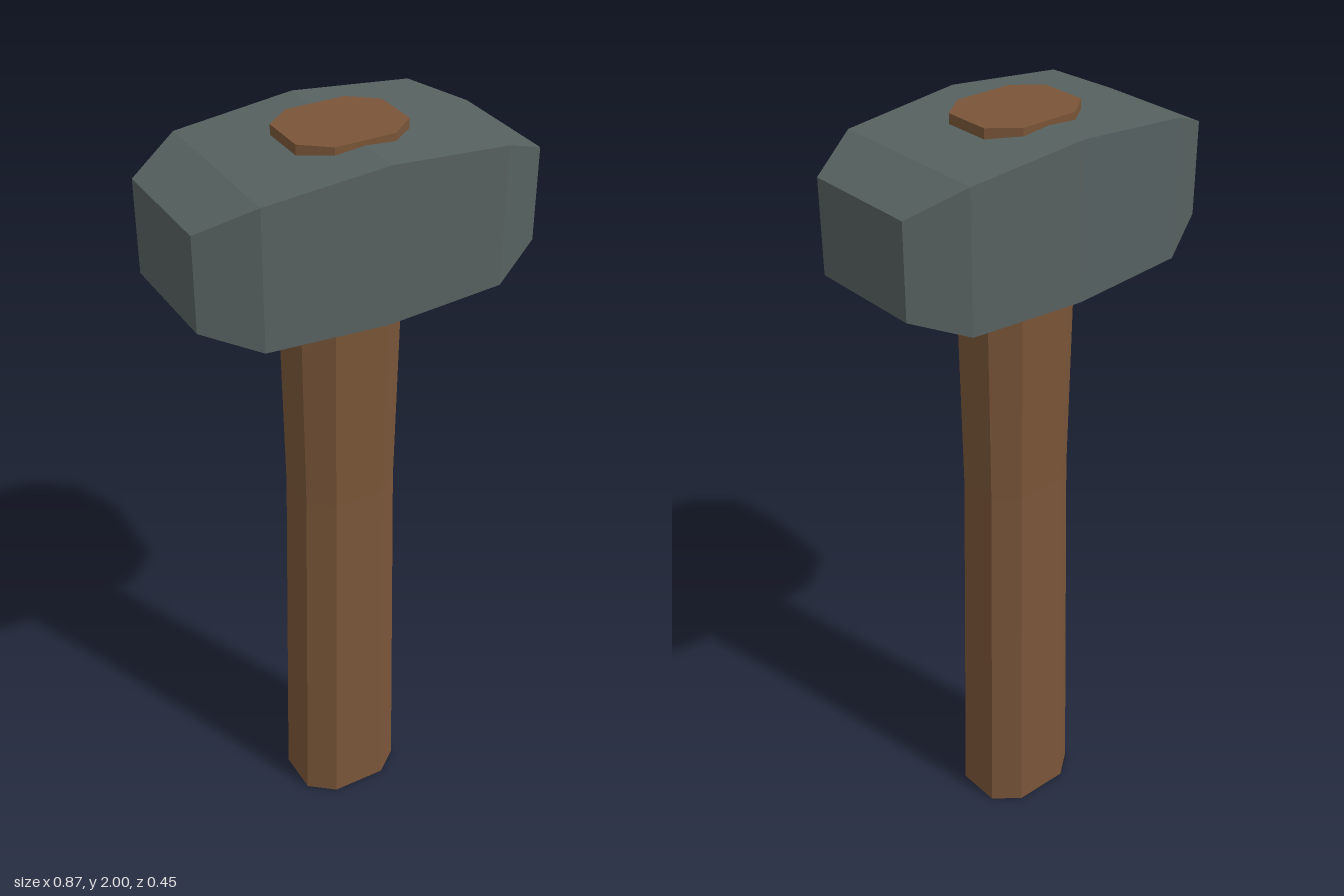
import * as THREE from 'three';

const iron = new THREE.MeshStandardMaterial({ color: 0x566160, flatShading: true });
iron.name = 'dark iron';
const wood = new THREE.MeshStandardMaterial({ color: 0x7a5538, flatShading: true });
wood.name = 'brown wood';

// Joins rings of points into a closed faceted solid; rings run counterclockwise seen from the last one
function loft(rings) {
  const pos = [];
  const tri = (...corners) => corners.forEach((p) => pos.push(...p));
  const n = rings[0].length;
  for (let i = 0; i < rings.length - 1; i++) {
    for (let j = 0; j < n; j++) {
      const k = (j + 1) % n;
      tri(rings[i][j], rings[i][k], rings[i + 1][k]);
      tri(rings[i][j], rings[i + 1][k], rings[i + 1][j]);
    }
  }
  const first = rings[0];
  const last = rings[rings.length - 1];
  for (let j = 1; j < n - 1; j++) {
    tri(first[0], first[j + 1], first[j]);
    tri(last[0], last[j], last[j + 1]);
  }
  const geometry = new THREE.BufferGeometry();
  geometry.setAttribute('position', new THREE.Float32BufferAttribute(pos, 3));
  geometry.computeVertexNormals();
  return geometry;
}

// Rectangular section of the head across x
const headRing = (x, low, high, d) => [[x, low, -d], [x, high, -d], [x, high, d], [x, low, d]];

// Chamfered rectangular section of the handle across y
function handleRing(y, w, d) {
  const cx = w * 0.53;
  const cz = d * 0.53;
  return [
    [cx, y, d], [w, y, cz], [w, y, -cz], [cx, y, -d],
    [-cx, y, -d], [-w, y, -cz], [-w, y, cz], [-cx, y, d],
  ];
}

export function createModel() {
  const model = new THREE.Group();
  model.name = 'hammer';

  // Head: swells slightly at the middle, tapers to both striking faces
  const head = new THREE.Mesh(loft([
    headRing(-0.433, 1.67, 1.902, 0.151),
    headRing(-0.303, 1.615, 1.96, 0.213),
    headRing(0, 1.603, 1.988, 0.224),
    headRing(0.303, 1.615, 1.96, 0.213),
    headRing(0.433, 1.67, 1.902, 0.151),
  ]), iron);
  head.name = 'head';

  // Handle: eight-sided, narrow at the waist, passing through the head
  const handle = new THREE.Mesh(loft([
    handleRing(0, 0.141, 0.113),
    handleRing(1.03, 0.126, 0.101),
    handleRing(2, 0.141, 0.113),
  ]), wood);
  handle.name = 'handle';

  model.add(head, handle);
  return model;
}
